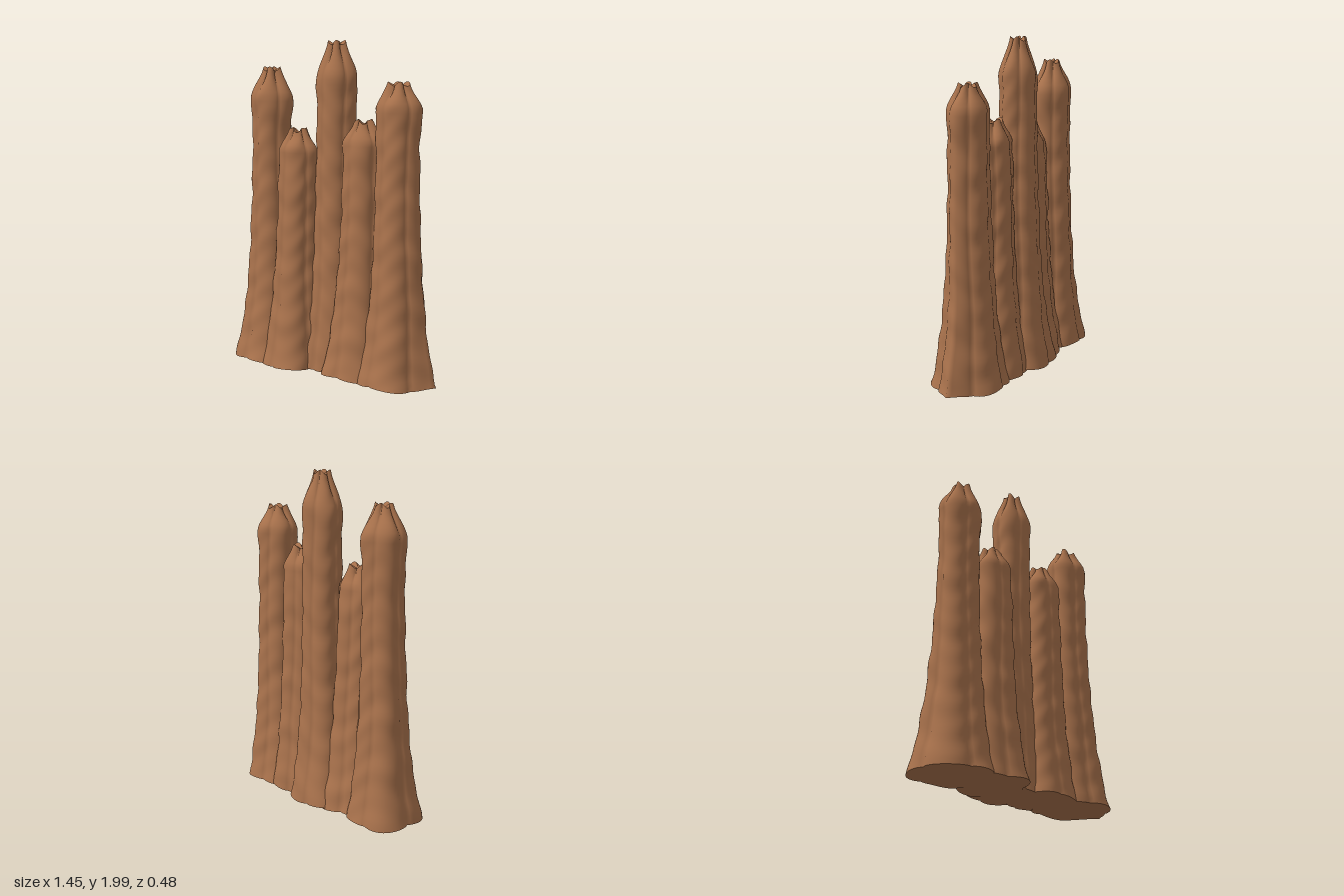
import * as THREE from 'three';

const SEG = 70; // multiple of 10, so creases fall on vertices
const RINGS = 64;
const LOBES = 5;

const clay = new THREE.MeshStandardMaterial({ color: 0xa9724c });
clay.name = 'brown clay';

// x, z, height, shaft radius, foot radius of each lobe, shoulder radius and drop, tip radius, ridge
const columns = [
  { name: 'outerRightSpire', x: -0.497, z: -0.03, h: 1.825, body: 0.122, foot: [0.22, 0.235, 0.255, 0.255, 0.2], bulge: 0.146, drop: 0.17, tip: 0.06, ridge: 0 },
  { name: 'innerRightSpire', x: -0.262, z: 0.01, h: 1.46, body: 0.121, foot: [0.2, 0.23, 0.24, 0.24, 0.235], bulge: 0.122, drop: 0.12, tip: 0.065, ridge: 0 },
  { name: 'centralSpire', x: -0.02, z: -0.052, h: 1.98, body: 0.12, foot: [0.21, 0.175, 0.24, 0.26, 0.2], bulge: 0.135, drop: 0.2, tip: 0.058, ridge: 0 },
  { name: 'innerLeftSpire', x: 0.203, z: -0.01, h: 1.525, body: 0.121, foot: [0.22, 0.205, 0.255, 0.22, 0.2], bulge: 0.133, drop: 0.12, tip: 0.065, ridge: 0 },
  { name: 'outerLeftSpire', x: 0.448, z: 0.003, h: 1.745, body: 0.124, foot: [0.22, 0.235, 0.24, 0.24, 0.205], bulge: 0.142, drop: 0.13, tip: 0.067, ridge: 0.055 },
];

const smooth = THREE.MathUtils.smoothstep;
const lerp = THREE.MathUtils.lerp;

// flared foot, straight shaft, swollen shoulder and narrow tip
function radiusAt(c, y, a) {
  const t = c.h - y;
  const f = (a / (Math.PI * 2)) * LOBES;
  const k = Math.floor(f);
  const foot = lerp(c.foot[k % LOBES], c.foot[(k + 1) % LOBES], smooth(f - k, 0, 1));
  const shaft = c.body + (foot - c.body) * Math.exp(-y / 0.5);
  if (t > c.drop) return lerp(Math.max(c.bulge, shaft), shaft, smooth(t, c.drop, c.drop + 0.25));
  const u = t / c.drop;
  return lerp(c.tip, Math.max(c.bulge, shaft), lerp(u, smooth(u, 0, 1), 0.5));
}

// gentle lumps that wrap around the column
function lumps(a, y, s) {
  return 0.45 * Math.sin(23 * y + 2 * Math.sin(a + s) + s)
    + 0.35 * Math.sin(41 * y + 3 * Math.cos(2 * a + s) + 2 * s)
    + 0.4 * Math.sin(3 * a + 7 * y + 3 * s) * Math.sin(11 * y + s);
}

function spireGeometry(c, s) {
  const pos = [];
  const index = [];

  const ringPoint = (i, j) => {
    const a = (j / SEG) * Math.PI * 2;
    let y = 0.016 + (i / RINGS) * (c.h - 0.016);
    const top = smooth(y, c.h - c.drop, c.h);
    // rounded lobes parted by sharp creases, deepest at the tip
    const depth = lerp(0.13, 0.42, top);
    const lobe = 1 - depth * (1 - Math.pow(Math.abs(Math.cos(LOBES * a / 2)), 0.75));
    let r = radiusAt(c, y, a) * lobe + 0.006 * lumps(a, y, s) * (1 - 0.6 * top);
    // sharp ridge along the outer edge of the foot
    const off = Math.min(a, Math.PI * 2 - a);
    r += c.ridge * Math.exp(-off * 5) * Math.exp(-y / 0.4);
    // the shaft is flatter than the foot, the shoulder flatter still
    const squash = 0.88 + 0.12 * Math.exp(-y / 0.5) - 0.08 * smooth(y, c.h - c.drop - 0.25, c.h - c.drop);
    // ragged rim and wavy foot
    y += top * top * 0.013 * Math.sin(4 * a + 2 * s) + (i === 0 ? 0.005 * Math.sin(4 * a + s) : 0);
    const turn = a + 0.07 * Math.sin(4 * y + 2 * s) * smooth(y, 0.1, 0.6);
    return [c.x + r * Math.cos(turn), y, c.z + r * squash * Math.sin(turn)];
  };

  // wall
  for (let i = 0; i <= RINGS; i++)
    for (let j = 0; j < SEG; j++) pos.push(...ringPoint(i, j));
  for (let i = 0; i < RINGS; i++)
    for (let j = 0; j < SEG; j++) {
      const n = (j + 1) % SEG;
      const a = i * SEG + j, b = i * SEG + n, up = a + SEG, upN = b + SEG;
      index.push(a, up, b, b, up, upN);
    }

  // sunken tip and foot closure, with their own vertices for crisp rims
  const cap = (ring, centreY, isTop) => {
    const start = pos.length / 3;
    for (let j = 0; j < SEG; j++) pos.push(...ringPoint(ring, j));
    const mid = pos.length / 3;
    pos.push(c.x, centreY, c.z);
    for (let j = 0; j < SEG; j++) {
      const a = start + j, b = start + (j + 1) % SEG;
      if (isTop) index.push(mid, b, a);
      else index.push(mid, a, b);
    }
  };
  cap(RINGS, c.h - 0.02, true);
  cap(0, 0, false);

  const g = new THREE.BufferGeometry();
  g.setAttribute('position', new THREE.Float32BufferAttribute(pos, 3));
  g.setIndex(index);
  g.computeVertexNormals();
  return g;
}

export function createModel() {
  const group = new THREE.Group();
  group.name = 'spireCluster';
  columns.forEach((c, i) => {
    const mesh = new THREE.Mesh(spireGeometry(c, 1.3 + i * 1.7), clay);
    mesh.name = c.name;
    group.add(mesh);
  });
  return group;
}
